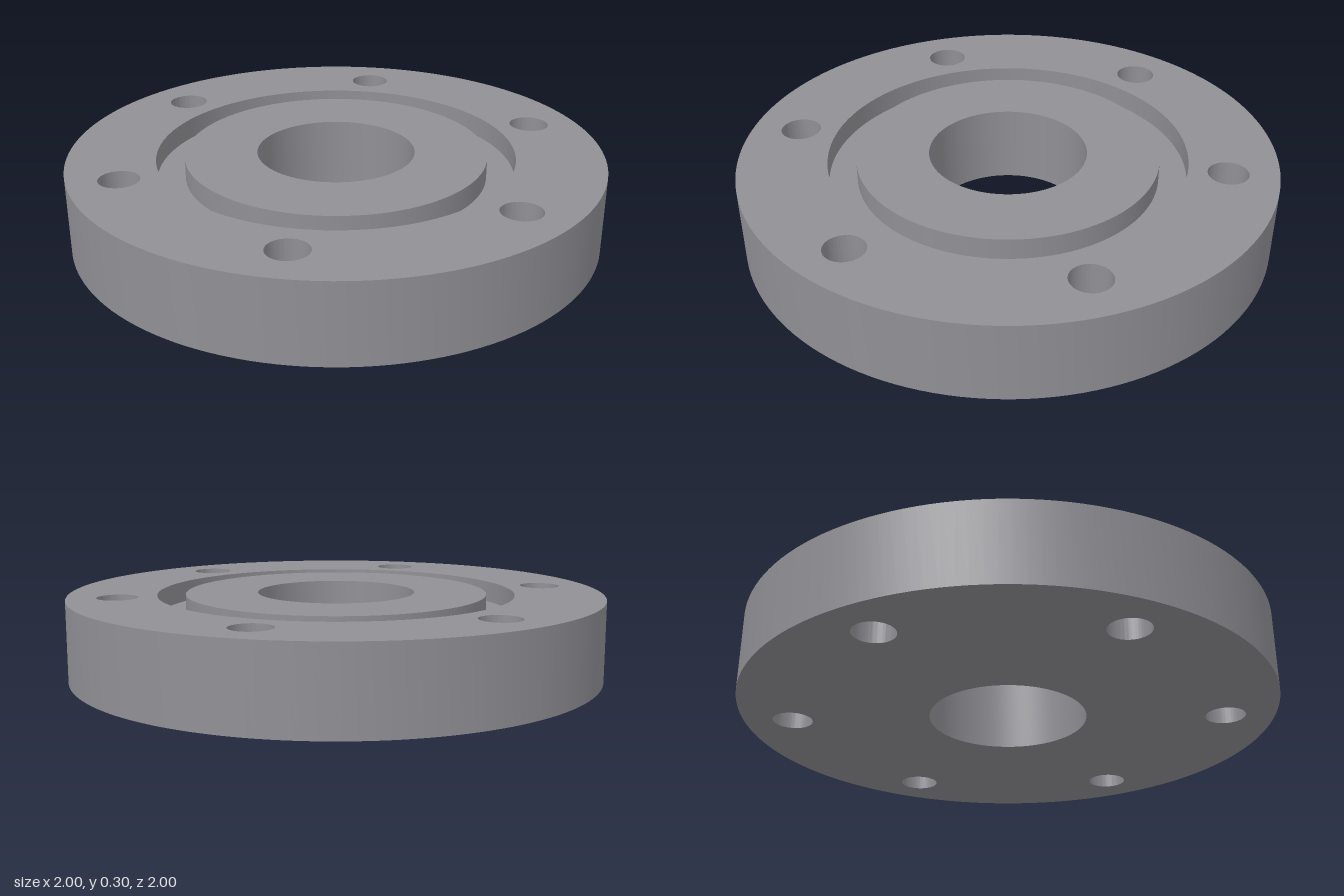
import * as THREE from 'three';
import { toCreasedNormals } from 'three/addons/utils/BufferGeometryUtils.js';

const HEIGHT = 0.3;
const GROOVE_DEPTH = 0.08;
const BORE = 0.295, HUB = 0.565, RING = 0.67, RIM = 1;
const BOLT_CIRCLE = 0.815, BOLT_RADIUS = 0.075, BOLTS = 6;

const circle = (Type, x, y, r) => new Type().absarc(x, y, r, 0, Math.PI * 2, false);

// Upright ring standing on y = 0, with optional extra holes [x, z, radius]
function ring(name, inner, outer, height, material, holes = []) {
  const shape = circle(THREE.Shape, 0, 0, outer);
  for (const [x, z, r] of [[0, 0, inner], ...holes]) {
    shape.holes.push(circle(THREE.Path, x, z, r));
  }
  const extruded = new THREE.ExtrudeGeometry(shape, {
    depth: height, bevelEnabled: false, curveSegments: 72,
  });
  extruded.rotateX(-Math.PI / 2);
  const mesh = new THREE.Mesh(toCreasedNormals(extruded, Math.PI / 6), material);
  mesh.name = name;
  return mesh;
}

export function createModel() {
  const steel = new THREE.MeshStandardMaterial({ color: 0x909095 });
  steel.name = 'steel grey';

  // Bolt holes evenly spaced, the first on the front-back axis
  const bolts = Array.from({ length: BOLTS }, (_, i) => {
    const a = Math.PI / 2 + (i * Math.PI * 2) / BOLTS;
    return [BOLT_CIRCLE * Math.cos(a), BOLT_CIRCLE * Math.sin(a), BOLT_RADIUS];
  });

  const flange = new THREE.Group();
  flange.name = 'flange';
  flange.add(
    ring('boltRing', RING, RIM, HEIGHT, steel, bolts),
    ring('grooveFloor', HUB, RING, HEIGHT - GROOVE_DEPTH, steel),
    ring('hub', BORE, HUB, HEIGHT, steel),
  );
  return flange;
}
